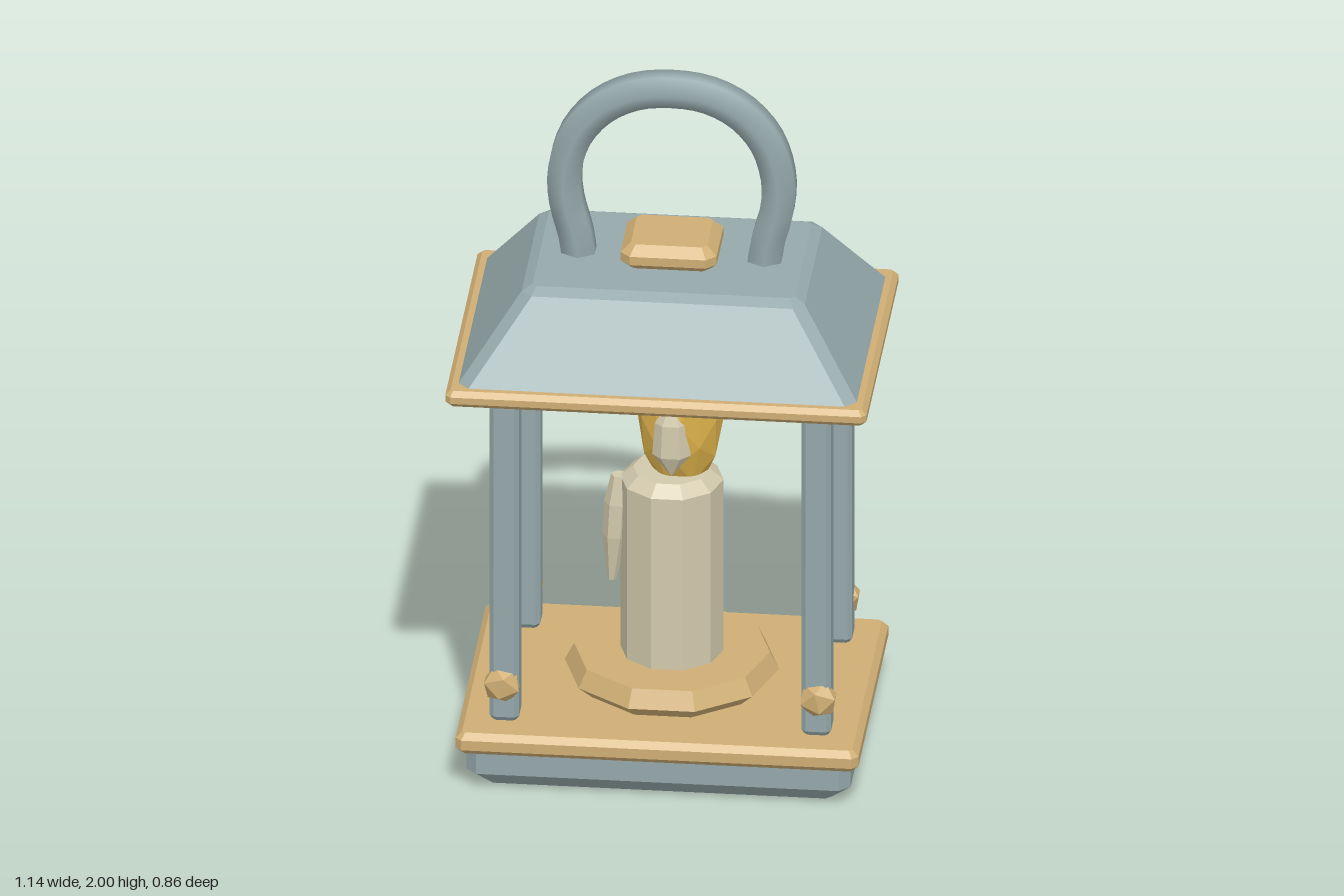
import * as THREE from 'three';

const mat = (name, color, flatShading = true) => {
  const m = new THREE.MeshStandardMaterial({ color, flatShading });
  m.name = name;
  return m;
};

// Box with cut corners, lofted through levels of [y, halfX, halfZ, cornerCut]
function loft(levels) {
  const rings = levels.map(([y, a, b, c]) => [
    [a, b - c], [a - c, b], [c - a, b], [-a, b - c],
    [-a, c - b], [c - a, -b], [a - c, -b], [a, c - b],
  ].map(([x, z]) => [x, y, z]));
  const pos = [];
  const tri = (...corners) => corners.forEach((p) => pos.push(...p));
  for (let k = 0; k < rings.length - 1; k++) {
    const lo = rings[k], hi = rings[k + 1];
    for (let i = 0; i < 8; i++) {
      const j = (i + 1) % 8;
      tri(lo[i], hi[i], hi[j]);
      tri(lo[i], hi[j], lo[j]);
    }
  }
  const bottom = rings[0], top = rings[rings.length - 1];
  for (let i = 1; i < 7; i++) {
    tri(bottom[0], bottom[i], bottom[i + 1]);
    tri(top[0], top[i + 1], top[i]);
  }
  const g = new THREE.BufferGeometry();
  g.setAttribute('position', new THREE.Float32BufferAttribute(pos, 3));
  g.computeVertexNormals();
  return g;
}

// Box with every edge chamfered by c
const chamferBox = (a, b, y0, y1, c, cy = c) => loft([
  [y0, a - c, b - c, c * 0.5], [y0 + cy, a, b, c], [y1 - cy, a, b, c], [y1, a - c, b - c, c * 0.5],
]);

// Faceted turned shape from [radius, y] points
const turned = (points, sides) => new THREE.LatheGeometry(
  points.map(([r, y]) => new THREE.Vector2(r, y)), sides, Math.PI / 2);

export function createModel() {
  const root = new THREE.Group();
  root.name = 'lantern';
  const metal = mat('blue grey metal', 0x95a8aa);
  const smoothMetal = metal.clone();
  smoothMetal.flatShading = false;
  const brass = mat('pale brass', 0xcfae74);
  const wax = mat('cream wax', 0xd2c9ac);
  const glow = mat('golden flame', 0xdbb04a);

  const add = (name, geometry, material, x = 0, y = 0, z = 0) => {
    const m = new THREE.Mesh(geometry, material);
    m.name = name;
    m.position.set(x, y, z);
    root.add(m);
    return m;
  };

  // Base
  add('base', loft([
    [0, 0.47, 0.33, 0.02], [0.05, 0.52, 0.38, 0.03], [0.125, 0.52, 0.38, 0.03],
  ]), metal);
  add('baseTrim', chamferBox(0.545, 0.405, 0.115, 0.178, 0.017), brass);

  // Corner posts and studs
  for (const sx of [-1, 1]) {
    for (const sz of [-1, 1]) {
      add('post', loft([
        [0.176, 0.03, 0.03, 0.008], [0.192, 0.04, 0.041, 0.012], [1.19, 0.04, 0.041, 0.012],
      ]), metal, sx * 0.422, 0, sz * 0.274);
      const stud = add('stud', new THREE.IcosahedronGeometry(1, 0), brass, sx * 0.428, 0.287, sz * 0.305);
      stud.scale.set(0.056, 0.057, 0.04);
      stud.rotation.z = sx * 0.2;
    }
  }

  // Candle on its dish
  add('dish', turned([[0, 0.17], [0.24, 0.17], [0.29, 0.215], [0.265, 0.265], [0, 0.265]], 10), brass);
  add('candle', turned([[0, 0.25], [0.14, 0.25], [0.14, 0.78], [0.105, 0.81], [0, 0.81]], 10), wax);

  // Wax drip
  const drip = add('waxDrip', turned(
    [[0, 0.46], [0.012, 0.465], [0.034, 0.6], [0.036, 0.7], [0.022, 0.782], [0, 0.782]], 6), wax, -0.143);
  const p = drip.geometry.attributes.position;
  for (let i = 0; i < p.count; i++) p.setX(i, p.getX(i) - 0.02 * (0.78 - p.getY(i)) / 0.32);

  // Flame and its pale core
  add('flame', new THREE.IcosahedronGeometry(1, 1), glow, 0.023, 0.98, -0.008).scale.set(0.119, 0.238, 0.096);
  const core = add('flameCore', turned(
    [[0, 0.82], [0.052, 0.885], [0.045, 0.98], [0, 1.05]], 6), wax, 0.006, 0, 0.073);
  core.scale.z = 0.6;

  // Roof
  add('roofTrim', chamferBox(0.57, 0.43, 1.178, 1.225, 0.014), brass);
  add('roof', loft([
    [1.215, 0.546, 0.406, 0.03], [1.44, 0.383, 0.258, 0.03], [1.456, 0.355, 0.226, 0.012],
  ]), metal);
  add('roofCap', chamferBox(0.13, 0.115, 1.45, 1.525, 0.027, 0.025), brass);

  // Carrying handle
  const half = [[0.25, 1.44], [0.26, 1.51], [0.285, 1.61], [0.289, 1.7], [0.258, 1.81], [0.19, 1.894], [0.1, 1.942]];
  const path = [
    ...half.map(([x, y]) => new THREE.Vector3(-x, y, 0)),
    new THREE.Vector3(0, 1.955, 0),
    ...half.reverse().map(([x, y]) => new THREE.Vector3(x, y, 0)),
  ];
  add('handle', new THREE.TubeGeometry(new THREE.CatmullRomCurve3(path), 40, 0.052, 6), smoothMetal);

  return root;
}
